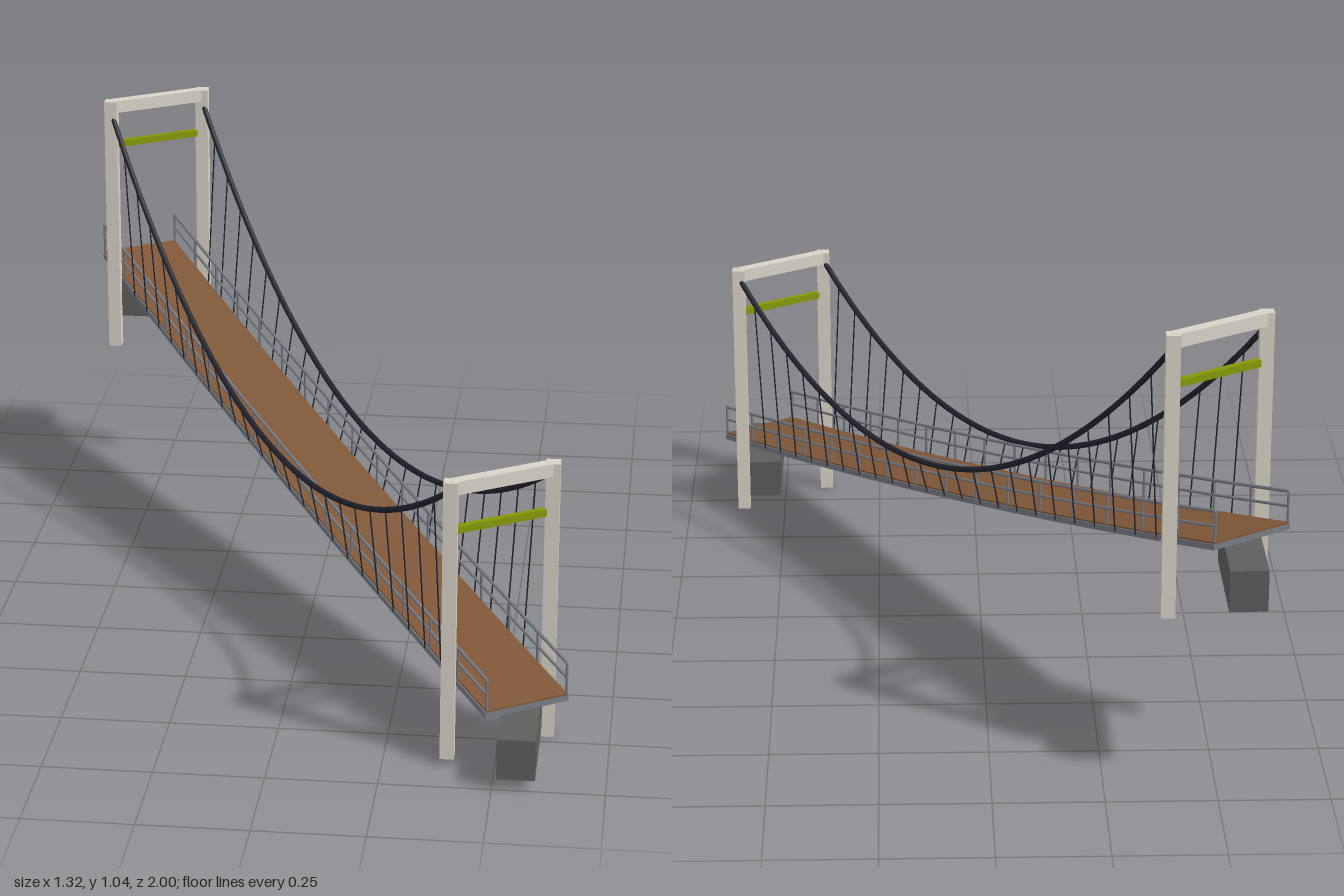
import * as THREE from 'three';

const mat = (name, color) => {
  const m = new THREE.MeshStandardMaterial({ color });
  m.name = name;
  return m;
};

const TURN = 0.5704;  // heading of the bridge
const HALF = 1.055;   // half deck length
const TOWER = 0.925;  // tower distance from the middle
const SIDE = 0.128;   // cable and post offset
const EDGE = 0.105;   // half deck width

// height of the walking surface along the bridge, with a slight sag
const deckY = s => 0.379 - 0.206 * s - 0.023 * (1 - (s / HALF) ** 2);
// main cable height between the two towers
const cableY = s => {
  const t = (s + TOWER) / (2 * TOWER);
  return 1.01 - 0.37 * t - 1.592 * t * (1 - t);
};

export function createModel() {
  const stone = mat('pale stone', 0xd8d3c6);
  const wood = mat('brown planks', 0x7f5739);
  const steel = mat('slate steel', 0x797c85);
  const cableMat = mat('dark cable', 0x22242e);
  const olive = mat('olive brace', 0x859808);
  const concrete = mat('dark concrete', 0x5e5e5d);

  const model = new THREE.Group();
  model.name = 'suspensionBridge';
  const span = new THREE.Group();
  span.name = 'span';
  span.rotation.y = TURN;
  model.add(span);

  const add = (parent, name, geo, material, x = 0, y = 0, z = 0) => {
    const mesh = new THREE.Mesh(geo, material);
    mesh.name = name;
    mesh.position.set(x, y, z);
    parent.add(mesh);
    return mesh;
  };

  // straight thin rod between two points
  const rod = (name, a, b, r, material) => {
    const dir = b.clone().sub(a);
    const mesh = add(span, name, new THREE.CylinderGeometry(r, r, dir.length(), 6), material);
    mesh.position.copy(a).add(b).multiplyScalar(0.5);
    mesh.quaternion.setFromUnitVectors(new THREE.Vector3(0, 1, 0), dir.normalize());
  };

  // tube that follows a height function along the bridge
  const line = (name, x, end, fn, r, material) => {
    const pts = [];
    for (let i = 0; i <= 24; i++) {
      const s = -end + (2 * end * i) / 24;
      pts.push(new THREE.Vector3(x, fn(s), s));
    }
    add(span, name, new THREE.TubeGeometry(new THREE.CatmullRomCurve3(pts), 72, r, 8), material);
  };

  // sagging slab from its side profile
  const slab = (name, width, top, bottom, material) => {
    const pts = [];
    for (let i = 0; i <= 24; i++) {
      const s = -HALF + (2 * HALF * i) / 24;
      pts.push(new THREE.Vector2(s, deckY(s) + bottom));
    }
    for (let i = 24; i >= 0; i--) pts.push(new THREE.Vector2(pts[i].x, pts[i].y - bottom + top));
    const geo = new THREE.ExtrudeGeometry(new THREE.Shape(pts), { depth: width, bevelEnabled: false });
    geo.translate(0, 0, -width / 2);
    geo.rotateY(-Math.PI / 2);
    add(span, name, geo, material);
  };
  slab('deckGirder', EDGE * 2, -0.004, -0.018, steel);
  slab('deckPlanks', EDGE * 2 - 0.006, 0, -0.004, wood);

  // portal towers, with square posts that keep to the ground axes
  for (const [z, base] of [[-TOWER, 0.381], [TOWER, 0]]) {
    const tower = new THREE.Group();
    tower.name = z < 0 ? 'backTower' : 'frontTower';
    tower.position.set(0, base, z);
    span.add(tower);
    for (const side of [-1, 1]) {
      const post = add(tower, 'towerPost', new THREE.BoxGeometry(0.032, 0.663, 0.032), stone, side * SIDE, 0.3315, 0);
      post.rotation.y = -TURN;
    }
    add(tower, 'topBeam', new THREE.BoxGeometry(2 * SIDE, 0.031, 0.028), stone, 0, 0.648, 0);
    add(tower, 'crossBrace', new THREE.BoxGeometry(2 * SIDE - 0.02, 0.017, 0.015), olive, 0, 0.547, 0);
  }

  // cables, hangers and railings, mirrored
  for (const side of [-1, 1]) {
    line('mainCable', side * SIDE, TOWER, cableY, 0.007, cableMat);
    for (let i = 1; i < 24; i++) {
      const s = -TOWER + (2 * TOWER * i) / 24;
      rod('hanger',
        new THREE.Vector3(side * SIDE, cableY(s), s),
        new THREE.Vector3(side * EDGE, deckY(s) - 0.012, s), 0.0017, cableMat);
    }

    const railX = side * (EDGE - 0.004);
    line('topRail', railX, HALF - 0.003, s => deckY(s) + 0.073, 0.004, steel);
    line('middleRail', railX, HALF - 0.003, s => deckY(s) + 0.038, 0.0035, steel);
    for (let i = 0; i <= 16; i++) {
      const s = (HALF - 0.003) * (i / 8 - 1);
      rod('railPost',
        new THREE.Vector3(railX, deckY(s) - 0.005, s),
        new THREE.Vector3(railX, deckY(s) + 0.073, s), 0.003, steel);
    }
  }

  // anchor blocks under both ends
  const block = new THREE.BoxGeometry(0.085, 0.096, 0.28);
  add(model, 'backAnchor', block, concrete, -0.555, 0.505, -0.86);
  add(model, 'frontAnchor', block, concrete, 0.553, 0.074, 0.86);

  return model;
}
